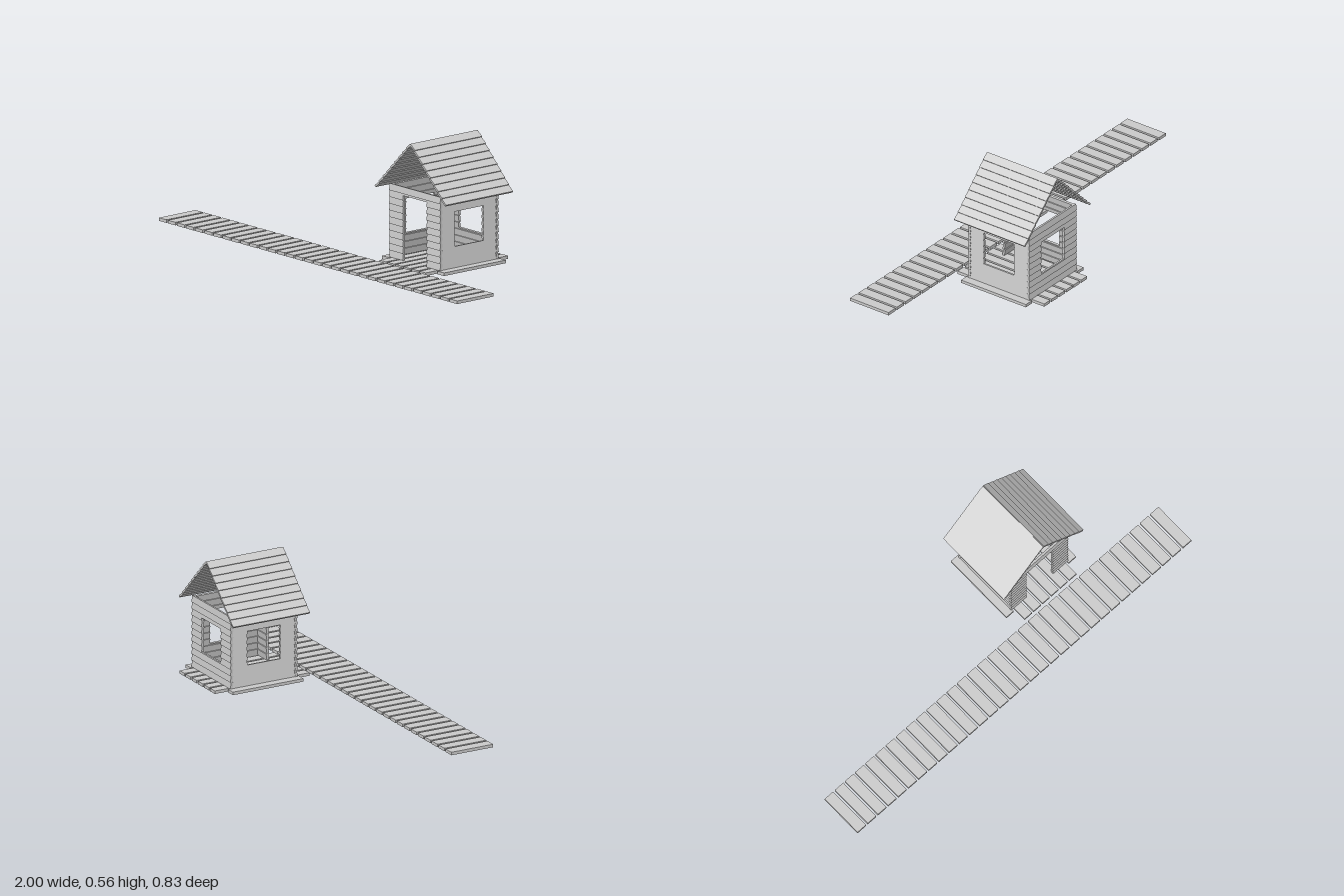
import * as THREE from 'three';

const material = new THREE.MeshStandardMaterial({ color: 0xcccccc, flatShading: true });

function board(parent, name, w, h, d, x, y, z) {
  const mesh = new THREE.Mesh(new THREE.BoxGeometry(w, h, d), material);
  mesh.name = name;
  mesh.position.set(x, y, z);
  parent.add(mesh);
}

// Panel of lapped boards: x across, y up from 0, +z outside. Each row leans
// so its lower edge stands proud. The opening is { half, bottom, top }.
function lappedPanel(name, width, rows, pitch, thick, tilt, opening) {
  const panel = new THREE.Group();
  panel.name = name;
  for (let i = 0; i < rows; i++) {
    const row = new THREE.Group();
    row.position.y = (i + 0.5) * pitch;
    row.rotation.x = -tilt;
    panel.add(row);
    const low = i * pitch, high = low + pitch;
    if (!opening || high <= opening.bottom || low >= opening.top) {
      board(row, name + 'Board', width, pitch, thick, 0, 0, 0);
      continue;
    }
    // boards on both sides of the opening
    const side = width / 2 - opening.half;
    for (const s of [-1, 1]) {
      board(row, name + 'Board', side, pitch, thick, s * (opening.half + side / 2), 0, 0);
    }
    // strips left below or above the opening in this row
    for (const [a, b] of [[low, opening.bottom], [opening.top, high]]) {
      if (b - a > 0.001) {
        board(row, name + 'Strip', opening.half * 2, b - a, thick, 0, (a + b) / 2 - row.position.y, 0);
      }
    }
  }
  return panel;
}

export function createModel() {
  const model = new THREE.Group();
  model.name = 'cabinAndBoardwalk';
  const angle = 0.087;
  const plankH = 0.014;

  // Boardwalk of cross planks
  const walk = new THREE.Group();
  walk.name = 'boardwalk';
  walk.position.set(0, 0, 0.225);
  walk.rotation.y = angle;
  model.add(walk);
  const count = 33, length = 1.99, plankW = 0.05;
  const step = (length - plankW) / (count - 1);
  for (let i = 0; i < count; i++) {
    board(walk, 'walkPlank', plankW, plankH, 0.211, -length / 2 + plankW / 2 + i * step, plankH / 2, 0);
  }

  const house = new THREE.Group();
  house.name = 'cabin';
  house.position.set(0.335, 0, -0.166);
  house.rotation.y = angle;
  model.add(house);

  // Floor planks, the outer pair shorter
  for (let i = 0; i < 8; i++) {
    const outer = i === 0 || i === 7;
    board(house, 'floorPlank', 0.043, plankH, outer ? 0.356 : 0.476, (i - 3.5) * 0.053, plankH / 2, 0);
  }

  // Walls: door in front, a window in each other wall
  const windowHole = { half: 0.083, bottom: 0.096, top: 0.252 };
  const walls = [
    ['frontWall', 0, 0.34, { half: 0.079, bottom: 0, top: 0.291 }],
    ['leftWall', 1, 0.318, windowHole],
    ['backWall', 2, 0.34, windowHole],
    ['rightWall', 3, 0.318, windowHole],
  ];
  for (const [name, quarter, width, opening] of walls) {
    const wall = lappedPanel(name, width, 11, 0.03, 0.011, 0.15, opening);
    const a = quarter * Math.PI / 2;
    wall.rotation.y = a;
    wall.position.set(Math.sin(a) * 0.162, plankH, Math.cos(a) * 0.162);
    house.add(wall);
  }

  // Two roof slopes meeting at the ridge
  for (const s of [-1, 1]) {
    const slope = new THREE.Group();
    slope.name = s > 0 ? 'leftRoof' : 'rightRoof';
    slope.position.set(s * 0.234, 0.322, 0);
    slope.rotation.y = s * Math.PI / 2;
    const panel = lappedPanel('roof', 0.387, 9, 0.0367, 0.009, 0.12, null);
    panel.rotation.x = -Math.PI / 4;
    slope.add(panel);
    house.add(slope);
  }
  return model;
}
